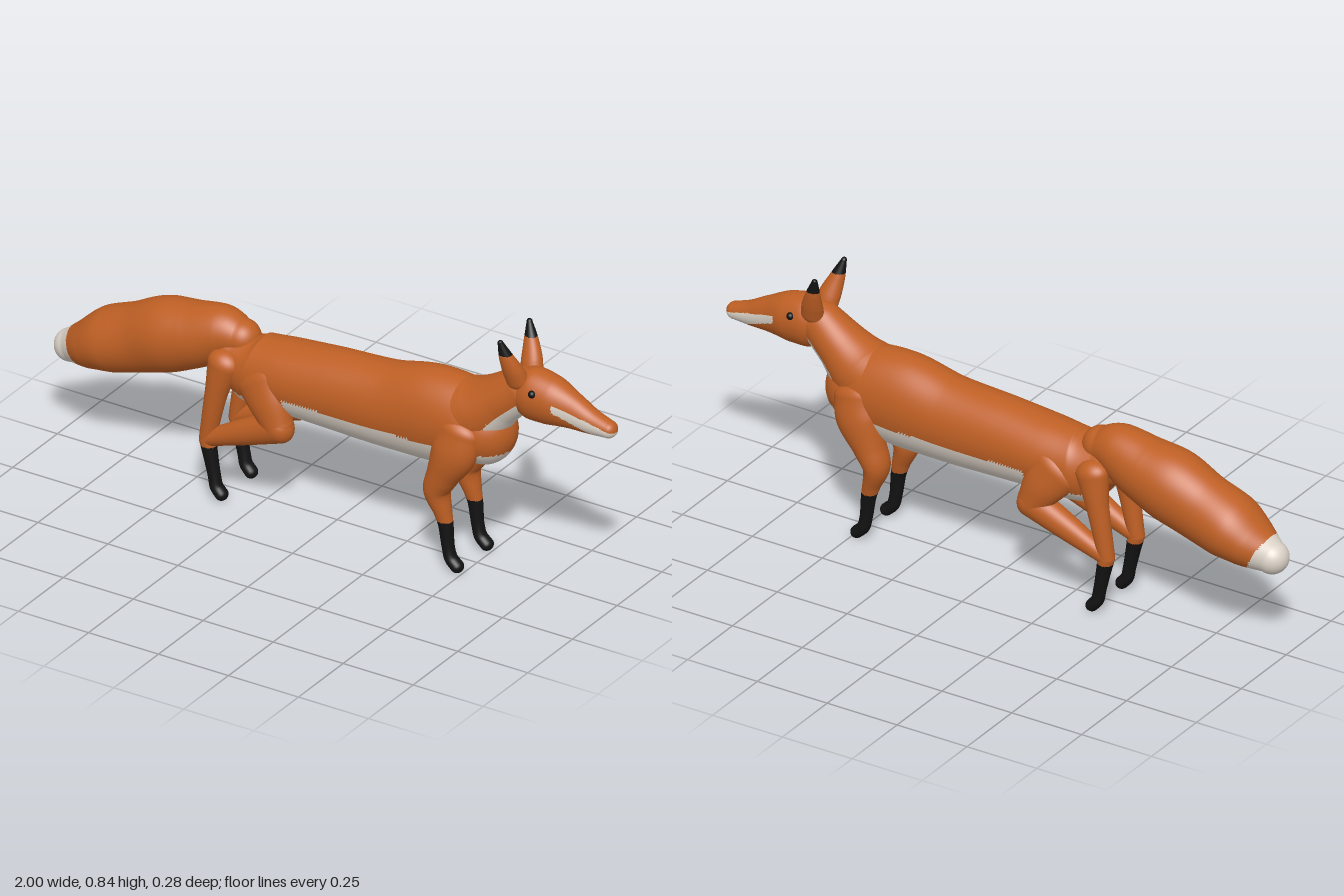
import * as THREE from 'three';

const mat = (name, color) => {
  const m = new THREE.MeshStandardMaterial({ color });
  m.name = name;
  return m;
};

// Smooth tube through sections [x, y, z, radius in the xy plane, radius along z], with round ends.
// paint(x, y, z) picks the material index of each face.
function loft(name, sections, materials, paint = () => 0, steps = 60, sides = 48) {
  const path = new THREE.CatmullRomCurve3(sections.map(s => new THREE.Vector3(s[0], s[1], s[2])));
  const radii = new THREE.CatmullRomCurve3(sections.map(s => new THREE.Vector3(s[3], s[4], 0)));
  const rings = [];
  const addRing = (t, push, scale) => {
    const dir = path.getTangent(t), r = radii.getPoint(t);
    const c = path.getPoint(t).addScaledVector(dir, push * Math.min(r.x, r.y));
    const flat = Math.hypot(dir.x, dir.y);
    rings.push({ c, nx: -dir.y / flat, ny: dir.x / flat, a: r.x * scale, b: r.y * scale });
  };
  const capSteps = 10;
  for (let i = 0; i < capSteps; i++) {
    const q = i / capSteps * Math.PI / 2;
    addRing(0, -Math.cos(q), Math.max(Math.sin(q), 0.001));
  }
  for (let i = 0; i <= steps; i++) addRing(i / steps, 0, 1);
  for (let i = 1; i <= capSteps; i++) {
    const q = i / capSteps * Math.PI / 2;
    addRing(1, Math.sin(q), Math.max(Math.cos(q), 0.001));
  }

  const pos = [];
  for (const { c, nx, ny, a, b } of rings) {
    for (let j = 0; j < sides; j++) {
      const q = j / sides * Math.PI * 2, u = Math.cos(q) * a;
      pos.push(c.x + nx * u, c.y + ny * u, c.z + Math.sin(q) * b);
    }
  }
  const faces = materials.map(() => []);
  const addFace = (...ids) => {
    const mid = k => ids.reduce((sum, i) => sum + pos[i * 3 + k], 0) / 3;
    faces[paint(mid(0), mid(1), mid(2))].push(...ids);
  };
  for (let i = 0; i < rings.length - 1; i++) {
    for (let j = 0; j < sides; j++) {
      const k = (j + 1) % sides, p = i * sides, n = p + sides;
      addFace(p + j, p + k, n + j);
      addFace(p + k, n + k, n + j);
    }
  }
  const geo = new THREE.BufferGeometry();
  geo.setAttribute('position', new THREE.Float32BufferAttribute(pos, 3));
  geo.setIndex(faces.flat());
  let start = 0;
  faces.forEach((f, i) => { geo.addGroup(start, f.length, i); start += f.length; });
  geo.computeVertexNormals();
  const mesh = new THREE.Mesh(geo, materials);
  mesh.name = name;
  return mesh;
}

export function createModel() {
  const fox = new THREE.Group();
  fox.name = 'fox';
  const fur = mat('orange fur', 0xbe5f24);
  const white = mat('white fur', 0xdcd3c8);
  const black = mat('black fur', 0x121212);
  const pale = [fur, white], dark = [fur, black];

  // Torso with white belly and chest
  fox.add(loft('torso', [
    [-0.36, 0.475, 0, 0.075, 0.08], [-0.28, 0.445, 0, 0.115, 0.105], [-0.15, 0.45, 0, 0.12, 0.115],
    [0, 0.455, 0, 0.13, 0.115], [0.2, 0.46, 0, 0.14, 0.115], [0.36, 0.477, 0, 0.155, 0.118],
    [0.47, 0.48, 0, 0.145, 0.115], [0.53, 0.47, 0, 0.11, 0.1],
  ], pale, (x, y, z) => {
    if (x > 0.46) return y < 0.425 && Math.abs(z) < 0.085 ? 1 : 0;
    return x > -0.37 && y < (x < -0.13 ? 0.385 : 0.425) ? 1 : 0;
  }, 110, 72));

  // Neck with white throat
  fox.add(loft('neck', [
    [0.44, 0.5, 0, 0.12, 0.11], [0.52, 0.54, 0, 0.105, 0.1],
    [0.59, 0.595, 0, 0.08, 0.082], [0.66, 0.65, 0, 0.07, 0.066],
  ], pale, (x, y, z) =>
    y > 0.485 && y < 0.63 && Math.abs(z) < 0.082 && x > 0.575 + (y - 0.53) * 1.1 ? 1 : 0, 70, 64));

  // Head tapering into the snout, with white cheeks
  fox.add(loft('head', [
    [0.66, 0.65, 0, 0.072, 0.058], [0.71, 0.647, 0, 0.086, 0.07], [0.77, 0.64, 0, 0.08, 0.067],
    [0.84, 0.626, 0, 0.06, 0.049], [0.91, 0.609, 0, 0.041, 0.037], [0.97, 0.6, 0, 0.028, 0.03],
  ], pale, (x, y) =>
    x > 0.8 && y < 0.655 - (x - 0.8) * 0.29 && y > 0.632 - (x - 0.8) * 0.45 ? 1 : 0, 90, 64));

  // Bushy tail with white tip
  fox.add(loft('tail', [
    [-0.34, 0.53, 0, 0.06, 0.06], [-0.4, 0.53, 0, 0.085, 0.08], [-0.5, 0.495, 0, 0.105, 0.1],
    [-0.6, 0.465, 0, 0.118, 0.11], [-0.7, 0.425, 0, 0.11, 0.103], [-0.8, 0.39, 0, 0.103, 0.108],
    [-0.88, 0.353, 0, 0.078, 0.09], [-0.95, 0.325, 0, 0.053, 0.053],
  ], pale, (x, y) => x < -0.89 - (y - 0.285) * 0.5 ? 1 : 0, 90, 56));

  for (const s of [1, -1]) {
    const side = s > 0 ? 'left' : 'right';
    const add = (part, sections, ...rest) => fox.add(
      loft(side + part, sections.map(([x, y, z, a, b]) => [x, y, z * s, a, b]), ...rest));

    // Front leg with black stocking
    add('FrontLeg', [
      [0.49, 0.49, 0.085, 0.07, 0.04], [0.475, 0.42, 0.089, 0.075, 0.051],
      [0.435, 0.33, 0.086, 0.053, 0.051], [0.412, 0.27, 0.085, 0.042, 0.047],
      [0.43, 0.2, 0.083, 0.028, 0.031], [0.44, 0.16, 0.083, 0.024, 0.023],
      [0.45, 0.08, 0.083, 0.02, 0.02], [0.46, 0.045, 0.083, 0.02, 0.022],
      [0.482, 0.023, 0.083, 0.02, 0.023],
    ], dark, (x, y) => y < 0.17 ? 1 : 0, 80, 36);

    // Hind leg: thigh, shank, tendon, and foot with black stocking
    add('Thigh', [
      [-0.23, 0.45, 0.075, 0.085, 0.045], [-0.19, 0.39, 0.085, 0.07, 0.048],
      [-0.155, 0.325, 0.09, 0.052, 0.045],
    ], [fur], undefined, 30, 36);
    add('Shank', [
      [-0.148, 0.32, 0.09, 0.052, 0.045], [-0.27, 0.266, 0.087, 0.042, 0.038],
      [-0.408, 0.203, 0.083, 0.026, 0.026],
    ], [fur], undefined, 30, 36);
    add('HindTendon', [
      [-0.355, 0.47, 0.075, 0.055, 0.042], [-0.378, 0.37, 0.083, 0.036, 0.034],
      [-0.41, 0.205, 0.083, 0.026, 0.026],
    ], [fur], undefined, 30, 36);
    add('HindFoot', [
      [-0.41, 0.2, 0.083, 0.027, 0.026], [-0.4, 0.15, 0.083, 0.023, 0.023],
      [-0.386, 0.08, 0.083, 0.02, 0.02], [-0.378, 0.045, 0.083, 0.02, 0.022],
      [-0.36, 0.023, 0.083, 0.02, 0.023],
    ], dark, (x, y) => y < 0.18 ? 1 : 0, 60, 36);

    // Ear with black tip
    add('Ear', [
      [0.672, 0.69, 0.036, 0.038, 0.032], [0.663, 0.73, 0.05, 0.035, 0.03],
      [0.648, 0.785, 0.069, 0.023, 0.021], [0.635, 0.835, 0.081, 0.009, 0.009],
    ], dark, (x, y) => y > 0.795 ? 1 : 0, 50, 32);

    // Eye
    const eye = new THREE.Mesh(new THREE.SphereGeometry(0.012, 20, 14), black);
    eye.name = side + 'Eye';
    eye.position.set(0.735, 0.678, 0.062 * s);
    fox.add(eye);
  }
  return fox;
}
